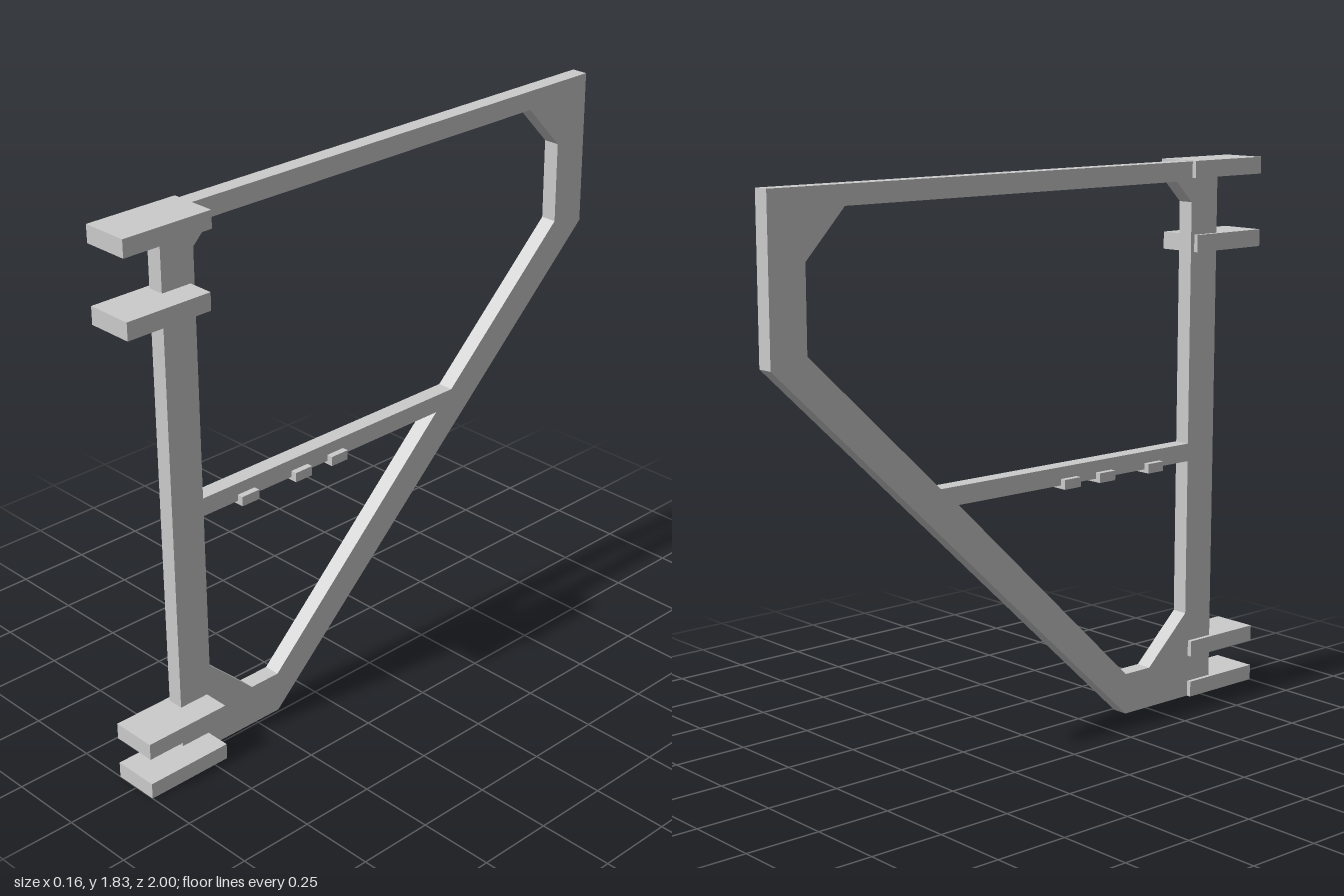
import * as THREE from 'three';

const material = new THREE.MeshStandardMaterial({ color: 0xcccccc, flatShading: true });

// Closed path from [z, y] corners; shape x runs towards -z
const trace = (path, corners) => {
  corners.forEach(([z, y], i) => (i ? path.lineTo(-z, y) : path.moveTo(-z, y)));
  path.closePath();
  return path;
};

// Box given by its limits on each axis
function block(name, [x0, x1], [y0, y1], [z0, z1]) {
  const mesh = new THREE.Mesh(new THREE.BoxGeometry(x1 - x0, y1 - y0, z1 - z0), material);
  mesh.position.set((x0 + x1) / 2, (y0 + y1) / 2, (z0 + z1) / 2);
  mesh.name = name;
  return mesh;
}

export function createModel() {
  const model = new THREE.Group();
  model.name = 'gateFrame';

  // Flat frame with an upper and a lower opening, leaving the crossbar between
  const outline = trace(new THREE.Shape(), [
    [0.805, 0], [0.405, 0], [-1, 1.315], [-1, 1.828], [0.805, 1.828],
  ]);
  outline.holes.push(
    trace(new THREE.Path(), [
      [0.685, 0.887], [0.685, 1.695], [0.615, 1.765], [-0.73, 1.765],
      [-0.872, 1.615], [-0.872, 1.345], [-0.385, 0.887],
    ]),
    trace(new THREE.Path(), [
      [0.685, 0.827], [-0.315, 0.827], [0.405, 0.138], [0.515, 0.138], [0.685, 0.297],
    ]),
  );
  const frame = new THREE.Mesh(
    new THREE.ExtrudeGeometry(outline, { depth: 0.055, bevelEnabled: false }), material);
  frame.rotation.y = Math.PI / 2;
  frame.position.x = -0.064;
  frame.name = 'frame';
  model.add(frame);

  // Mounting brackets in pairs at the top and bottom of the post
  for (const [y0, y1, back] of [
    [0, 0.053, 0.7], [0.143, 0.197, 0.7], [1.53, 1.587, 0.7], [1.774, 1.83, 0.687],
  ]) model.add(block('mountingBracket', [-0.079, 0.078], [y0, y1], [back, 1]));

  // Small pegs through the underside of the crossbar
  for (const z of [0.515, 0.295, 0.142])
    model.add(block('crossbarPeg', [-0.084, 0.012], [0.816, 0.848], [z - 0.034, z + 0.034]));

  return model;
}
